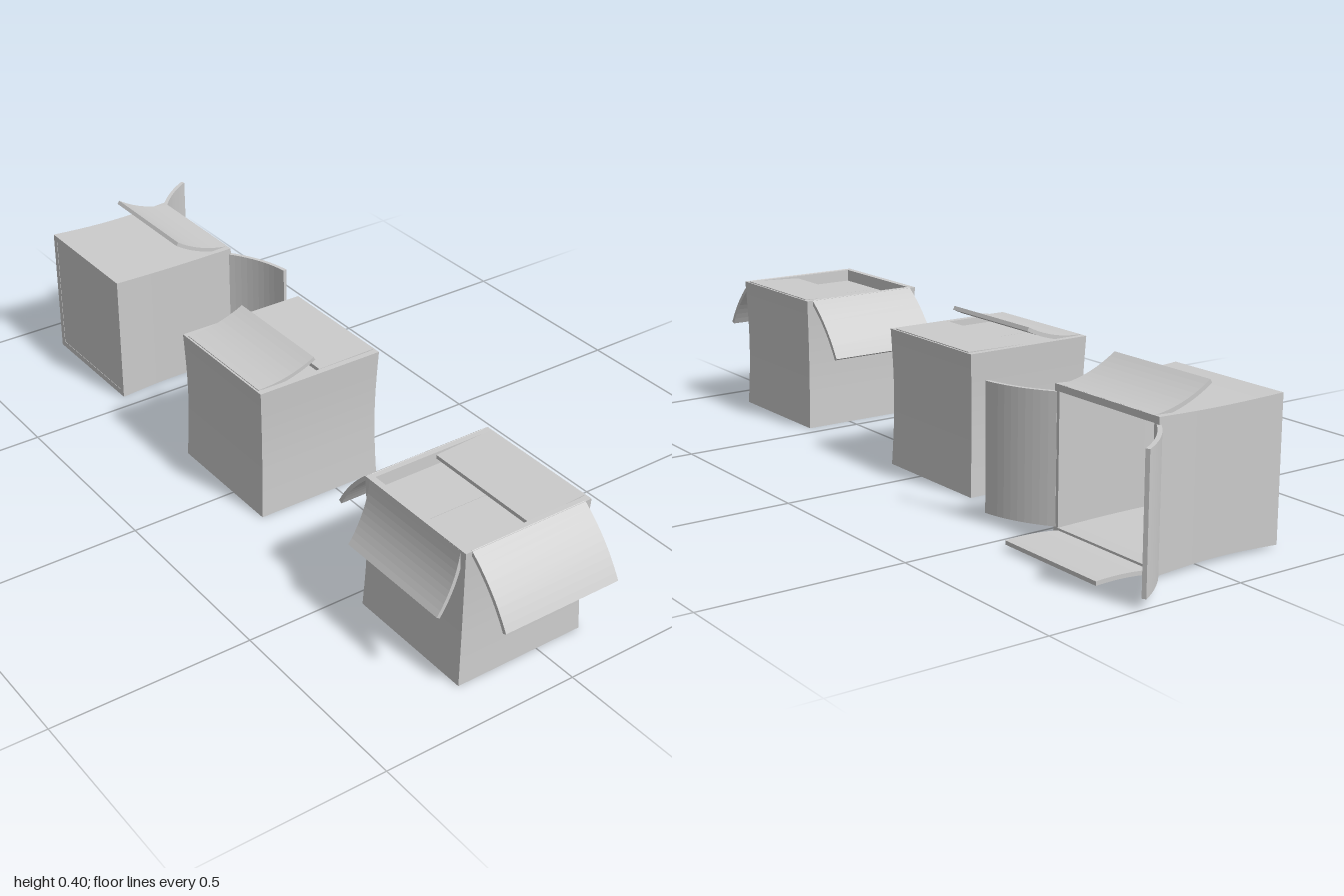
import * as THREE from 'three';

const HALF = 0.172, HEIGHT = 0.35, WALL = 0.016, FLAP_WIDTH = 0.31, FLAP_THICK = 0.01;
// turn that points the flap's outward axis at each side of the carton
const SIDES = { right: 0, front: -Math.PI / 2, left: Math.PI, back: Math.PI / 2 };

const material = new THREE.MeshStandardMaterial({ color: 0xcccccc, side: THREE.DoubleSide });

function addMesh(parent, geometry, name) {
  const mesh = new THREE.Mesh(geometry, material);
  mesh.name = name;
  parent.add(mesh);
  return mesh;
}

function square(half, Type) {
  const s = new Type();
  s.moveTo(-half, -half);
  s.lineTo(half, -half);
  s.lineTo(half, half);
  s.lineTo(-half, half);
  s.closePath();
  return s;
}

// Four hollow walls, pinched slightly at mid height
function wallGeometry() {
  const shape = square(HALF, THREE.Shape);
  shape.holes.push(square(HALF - WALL, THREE.Path));
  const geo = new THREE.ExtrudeGeometry(shape, { depth: HEIGHT, steps: 10, bevelEnabled: false });
  geo.rotateX(-Math.PI / 2);
  const p = geo.attributes.position;
  for (let i = 0; i < p.count; i++) {
    const k = 1 - 0.03 * Math.sin((Math.PI * p.getY(i)) / HEIGHT);
    p.setX(i, p.getX(i) * k);
    p.setZ(i, p.getZ(i) * k);
  }
  geo.computeVertexNormals();
  return geo;
}

// Curved flap: end point given as (outward, upward) from the rim, bend = sideways bow
function flapGeometry(out, up, bend) {
  const n = new THREE.Vector2(-up, out).normalize();
  const curve = new THREE.QuadraticBezierCurve(
    new THREE.Vector2(0, 0),
    new THREE.Vector2(out / 2 + n.x * bend * 2, up / 2 + n.y * bend * 2),
    new THREE.Vector2(out, up));
  const upper = [], lower = [];
  for (let i = 0; i <= 10; i++) {
    const pt = curve.getPoint(i / 10), t = curve.getTangent(i / 10);
    const dx = (-t.y * FLAP_THICK) / 2, dy = (t.x * FLAP_THICK) / 2;
    upper.push(new THREE.Vector2(pt.x + dx, pt.y + dy));
    lower.unshift(new THREE.Vector2(pt.x - dx, pt.y - dy));
  }
  const geo = new THREE.ExtrudeGeometry(new THREE.Shape([...upper, ...lower]),
    { depth: FLAP_WIDTH, bevelEnabled: false });
  return geo.translate(HALF - 0.005, HEIGHT - 0.003, -FLAP_WIDTH / 2);
}

// One carton opening upwards; flaps: side -> [outward, upward, bend]
function makeCarton(name, flaps, innerPanelY) {
  const carton = new THREE.Group();
  carton.name = name;
  addMesh(carton, wallGeometry(), 'walls');
  const inner = 2 * (HALF - WALL / 2);
  addMesh(carton, new THREE.BoxGeometry(inner, 0.014, inner), 'floor').position.y = 0.008;
  for (const [side, spec] of Object.entries(flaps)) {
    addMesh(carton, flapGeometry(...spec), side + 'Flap').rotation.y = SIDES[side];
  }
  // folded-in inner flaps meeting in the middle
  if (innerPanelY) {
    const depth = HALF - WALL;
    for (const s of [-1, 1]) {
      addMesh(carton, new THREE.BoxGeometry(FLAP_WIDTH, 0.008, depth - 0.001), 'innerFlap')
        .position.set(0, innerPanelY, (s * depth) / 2);
    }
  }
  return carton;
}

export function createModel() {
  const model = new THREE.Group();
  model.name = 'cardboardBoxes';

  // Front carton: three flaps hanging out, one folded in
  const front = makeCarton('openCarton', {
    front: [0.118, -0.137, 0.01],
    back: [0.118, -0.137, 0.01],
    left: [0.056, -0.15, -0.01],
    right: [-0.155, -0.008, 0],
  }, 0.315);
  front.position.set(-0.047, 0, 0.71);

  // Middle carton: nearly closed, one flap springing up
  const middle = makeCarton('closedCarton', {
    left: [-0.16, 0.037, 0.01],
    right: [-0.16, -0.002, 0],
  }, 0.33);
  middle.position.set(-0.047, 0, -0.042);

  // Back carton: lying on its side, open towards the left
  const back = makeCarton('tippedCarton', {
    left: [0.055, -0.152, -0.01],
    right: [-0.006, 0.148, 0.004],
    front: [0.165, 0.07, 0.012],
    back: [0.122, 0.135, -0.01],
  });
  back.rotation.z = -Math.PI / 2;
  back.position.set(-0.22, 0.177, -0.71);

  model.add(front, middle, back);
  return model;
}
